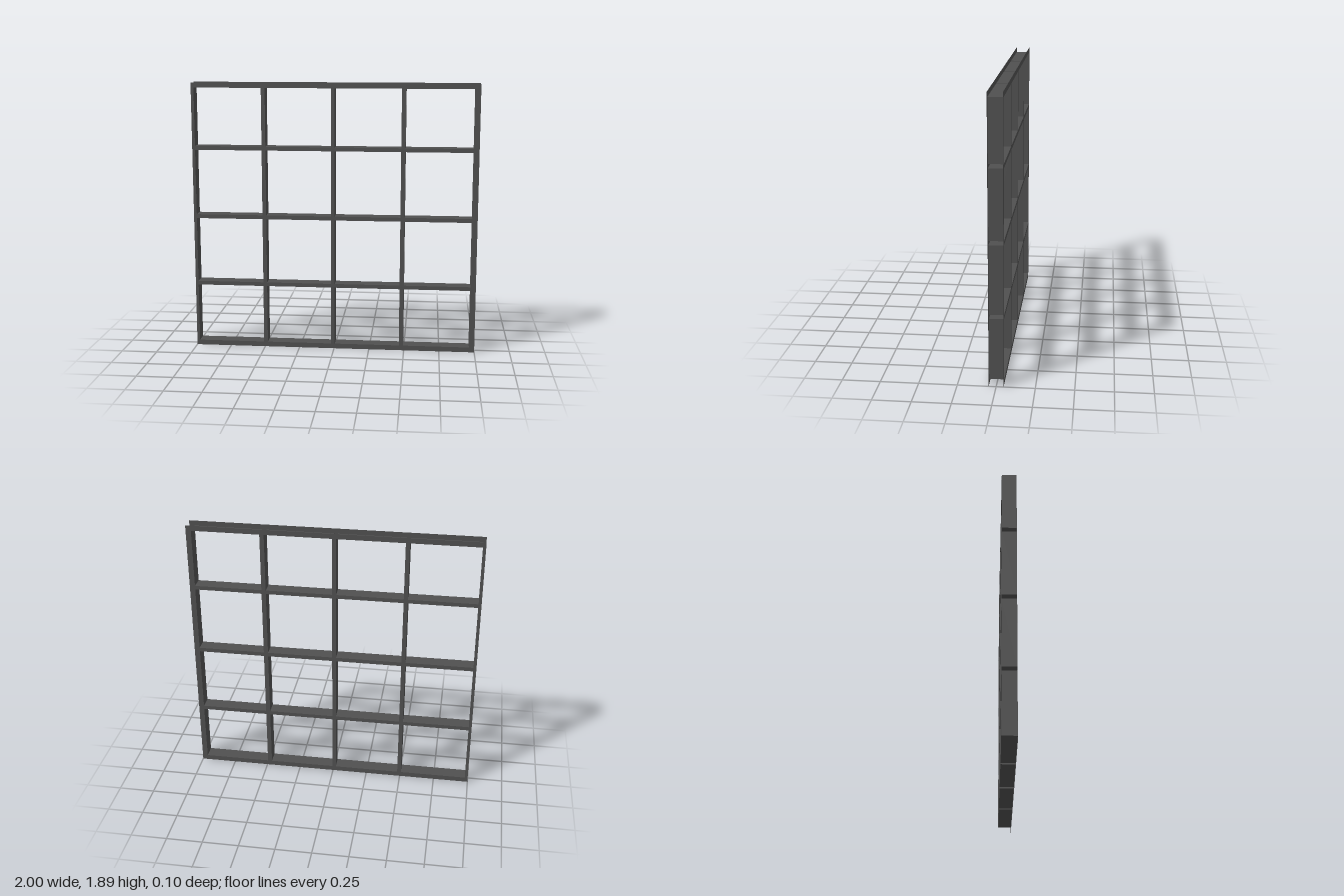
import * as THREE from 'three';
import { mergeGeometries } from 'three/addons/utils/BufferGeometryUtils.js';

const TOP = 1.895, HALF_DEPTH = 0.048;
// [start, end] of each opening
const columns = [[-0.98, -0.508], [-0.481, -0.021], [0.005, 0.465], [0.495, 0.963]];
const rows = [[0.035, 0.45], [0.477, 0.937], [0.965, 1.425], [1.452, 1.859]];

function trace(path, x0, y0, x1, y1) {
  path.moveTo(x0, y0);
  path.lineTo(x1, y0);
  path.lineTo(x1, y1);
  path.lineTo(x0, y1);
  path.closePath();
  return path;
}

// four open walls lining one opening, all facing into it
function liningGeometry([x0, x1], [y0, y1]) {
  const w = x1 - x0, h = y1 - y0, d = 2 * HALF_DEPTH;
  const cx = (x0 + x1) / 2, cy = (y0 + y1) / 2;
  return mergeGeometries([
    new THREE.PlaneGeometry(d, h).rotateY(Math.PI / 2).translate(x0, cy, 0),
    new THREE.PlaneGeometry(d, h).rotateY(-Math.PI / 2).translate(x1, cy, 0),
    new THREE.PlaneGeometry(w, d).rotateX(-Math.PI / 2).translate(cx, y0, 0),
    new THREE.PlaneGeometry(w, d).rotateX(Math.PI / 2).translate(cx, y1, 0),
  ]);
}

export function createModel() {
  const group = new THREE.Group();
  group.name = 'windowGrid';
  const darkGrey = new THREE.MeshStandardMaterial({ color: 0x505050, side: THREE.DoubleSide });
  darkGrey.name = 'darkGrey';

  const add = (name, geometry) => {
    const mesh = new THREE.Mesh(geometry, darkGrey);
    mesh.name = name;
    group.add(mesh);
    return mesh;
  };

  // flat lattice sheet with sixteen openings, used for front and back
  const lattice = trace(new THREE.Shape(), -1, 0, 1, TOP);
  for (const [x0, x1] of columns)
    for (const [y0, y1] of rows) lattice.holes.push(trace(new THREE.Path(), x0, y0, x1, y1));
  const sheet = new THREE.ShapeGeometry(lattice);
  add('frontLattice', sheet).position.z = HALF_DEPTH;

  // back sheet: same outline, with its winding reversed to face backwards
  const backSheet = sheet.clone();
  backSheet.setIndex(Array.from(sheet.index.array).reverse());
  backSheet.computeVertexNormals();
  add('backLattice', backSheet).position.z = -HALF_DEPTH;

  // linings joining both sheets; the outer rim stays open
  columns.forEach((column, i) =>
    rows.forEach((row, j) => add(`openingLining${i + 1}_${j + 1}`, liningGeometry(column, row))));

  return group;
}
